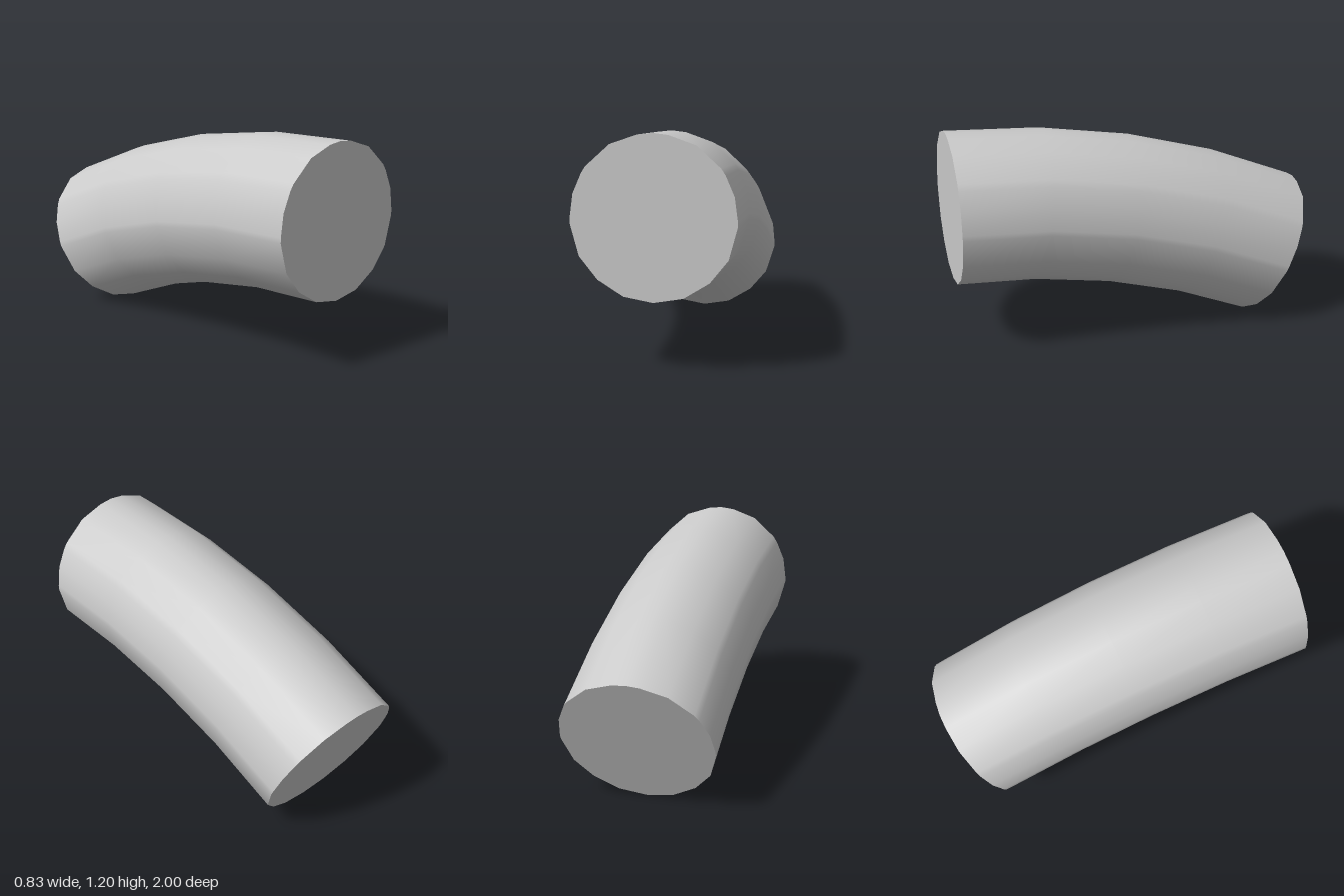
import * as THREE from 'three';
import { toCreasedNormals } from 'three/addons/utils/BufferGeometryUtils.js';

const BEND_RADIUS = 4.32;                     // centre line of the bend
const BEND_ANGLE = THREE.MathUtils.degToRad(25);
const FRONT_Y = 0.783;                        // height of the front cap's centre

// Right half of the slightly uneven round section, bottom to top
const HALF = [
  [0, -0.417], [0.15, -0.391], [0.28, -0.31], [0.372, -0.195], [0.416, -0.033], [0.416, -0.005],
  [0.4, 0.115], [0.356, 0.217], [0.335, 0.25], [0.214, 0.36], [0.077, 0.408], [0, 0.417],
];

// Straight bar in four steps, then bent downwards towards the back
function bentBar() {
  const mirrored = HALF.slice(1, -1).reverse().map(([x, y]) => [-x, y]);
  const shape = new THREE.Shape([...HALF, ...mirrored].map(([x, y]) => new THREE.Vector2(x, y)));
  const length = BEND_RADIUS * BEND_ANGLE;
  const geometry = new THREE.ExtrudeGeometry(shape, { depth: length, steps: 4, bevelEnabled: false });
  const p = geometry.attributes.position;
  for (let i = 0; i < p.count; i++) {
    const angle = (length - p.getZ(i)) / BEND_RADIUS;
    const r = BEND_RADIUS + p.getY(i);
    p.setXYZ(i, p.getX(i), FRONT_Y - BEND_RADIUS + r * Math.cos(angle), 1 - r * Math.sin(angle));
  }
  // Smooth wall, sharp cap rims
  return toCreasedNormals(geometry, THREE.MathUtils.degToRad(50));
}

export function createModel() {
  const group = new THREE.Group();
  group.name = 'bentCylinder';
  const body = new THREE.Mesh(bentBar(), new THREE.MeshStandardMaterial({ color: 0xcccccc }));
  body.name = 'curvedBody';
  group.add(body);
  return group;
}
